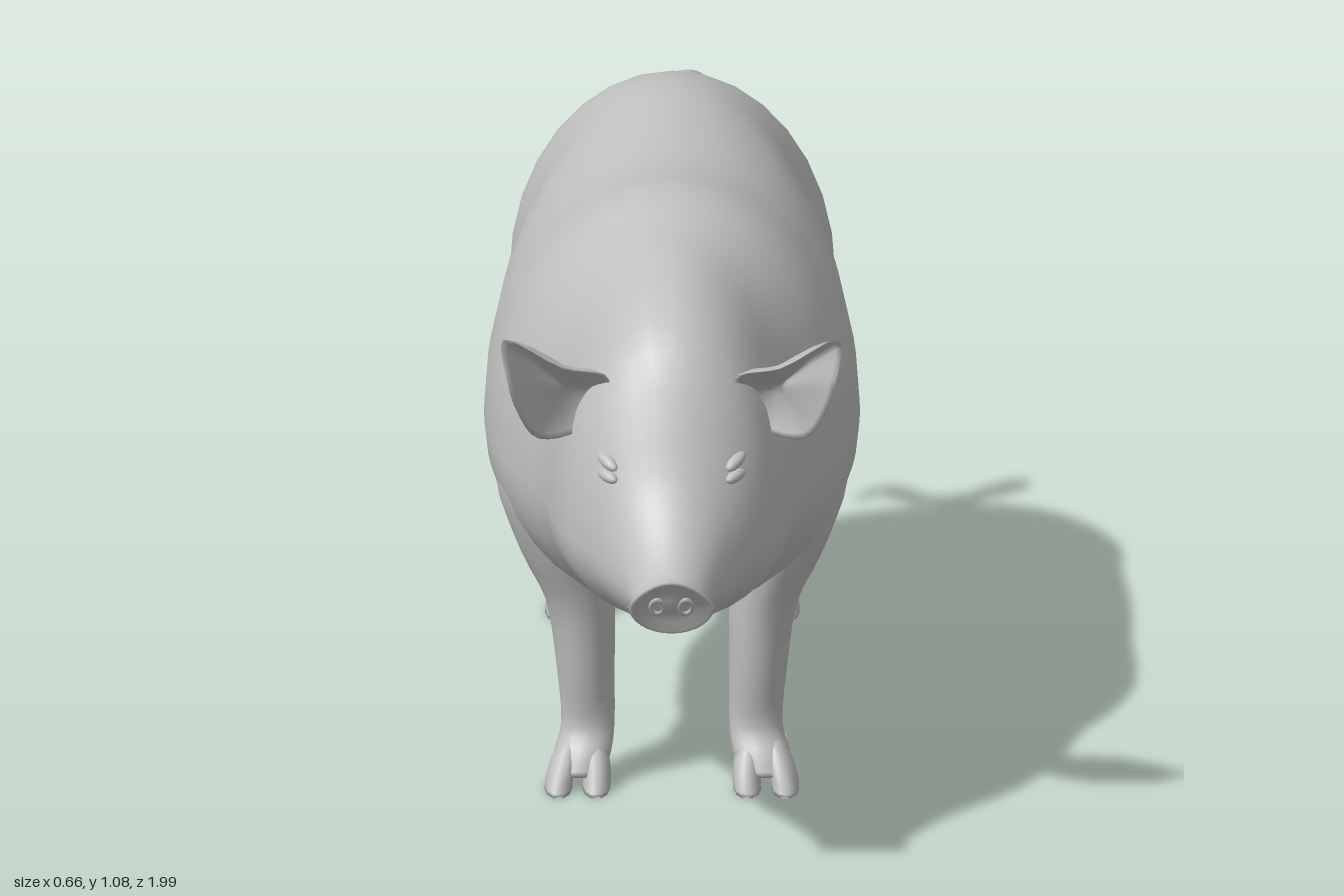
import * as THREE from 'three';

const skin = new THREE.MeshStandardMaterial({ color: 0xc0c0c0 });
skin.name = 'skin grey';
const V = (x, y, z) => new THREE.Vector3(x, y, z);

// Catmull-Rom value between b and c
function blend(a, b, c, d, t) {
  const cubic = 3 * (b - c) + d - a;
  const square = 2 * a - 5 * b + 4 * c - d;
  return b + 0.5 * t * (c - a + t * (square + t * cubic));
}

// Smooth refinement of rows of numbers
function refine(rows, k) {
  const out = [];
  const at = (i) => rows[Math.min(Math.max(i, 0), rows.length - 1)];
  for (let i = 0; i < rows.length - 1; i++) {
    for (let j = 0; j < k; j++) {
      out.push(at(i).map((p, n) => blend(at(i - 1)[n], p, at(i + 1)[n], at(i + 2)[n], j / k)));
    }
  }
  out.push(rows[rows.length - 1]);
  return out;
}

function named(name, geometry) {
  const mesh = new THREE.Mesh(geometry, skin);
  mesh.name = name;
  return mesh;
}

// Closed skin over rings of points, with end caps, always facing outwards
function loft(name, rings) {
  const n = rings[0].length;
  const pts = rings.flat();
  const index = [];
  for (let r = 0; r < rings.length - 1; r++) {
    for (let i = 0; i < n; i++) {
      const a = r * n + i, b = r * n + (i + 1) % n;
      index.push(a, b, a + n, b, b + n, a + n);
    }
  }
  const last = (rings.length - 1) * n;
  const middle = (ring) => ring.reduce((s, p) => s.add(p), V(0, 0, 0)).divideScalar(n);
  const c0 = pts.push(middle(rings[0])) - 1;
  const c1 = pts.push(middle(rings[rings.length - 1])) - 1;
  for (let i = 0; i < n; i++) {
    const j = (i + 1) % n;
    index.push(c0, j, i, c1, last + i, last + j);
  }
  let volume = 0;
  for (let i = 0; i < index.length; i += 3) {
    volume += pts[index[i]].dot(V(0, 0, 0).crossVectors(pts[index[i + 1]], pts[index[i + 2]]));
  }
  if (volume < 0) index.reverse();
  const g = new THREE.BufferGeometry().setFromPoints(pts);
  g.setIndex(index);
  g.computeVertexNormals();
  return named(name, g);
}

// Trunk and head: z, top, bottom, half width, height of widest point, forward lean
const trunk = [
  [-0.846, 0.81, 0.60, 0.09, 0.71, 0], [-0.83, 0.86, 0.52, 0.155, 0.70, 0],
  [-0.78, 0.91, 0.46, 0.218, 0.68, 0], [-0.68, 0.98, 0.43, 0.258, 0.68, 0],
  [-0.53, 1.05, 0.41, 0.284, 0.68, 0], [-0.38, 1.08, 0.35, 0.275, 0.66, 0],
  [-0.22, 1.07, 0.31, 0.307, 0.64, 0], [0, 1.053, 0.335, 0.327, 0.62, 0],
  [0.21, 1.078, 0.34, 0.322, 0.62, 0], [0.35, 1.05, 0.35, 0.288, 0.61, 0],
  [0.47, 1.03, 0.375, 0.23, 0.60, 0], [0.60, 0.99, 0.42, 0.208, 0.59, 0],
  [0.69, 0.93, 0.435, 0.185, 0.59, 0], [0.75, 0.83, 0.45, 0.15, 0.585, 0],
  [0.81, 0.71, 0.46, 0.11, 0.56, 0], [0.88, 0.63, 0.475, 0.08, 0.55, 0.01],
  [0.93, 0.597, 0.487, 0.068, 0.545, 0.025], [0.963, 0.603, 0.488, 0.075, 0.548, 0.033],
];

function buildTrunk() {
  const N = 32;
  const rings = refine(trunk, 3).map(([z, top, bottom, w, mid, lean]) =>
    Array.from({ length: N }, (_, i) => {
      const a = i / N * Math.PI * 2, s = Math.sin(a);
      // the snout narrows towards its upper edge
      const x = w * Math.cos(a) * (1 - 8 * lean * Math.max(s, 0));
      const y = mid + s * (s > 0 ? top - mid : mid - bottom);
      // cleft between the haunches
      const fade = z < -0.6 ? THREE.MathUtils.clamp((0.8 - y) / 0.15, 0, 1) : 0;
      return V(x, y, z + lean * s + 0.04 * fade * Math.exp(-((x / 0.05) ** 2)));
    }));
  // snout disc with a shallow dish
  const rim = rings[rings.length - 1];
  for (const [scale, push] of [[0.9, 0.004], [0.6, -0.006], [0.25, -0.002]]) {
    rings.push(rim.map((p) => V(p.x * scale, 0.546 + (p.y - 0.546) * scale,
      0.963 + (p.z - 0.963) * scale + push)));
  }
  return loft('trunkAndHead', rings);
}

// Limb rows: y, inner x, outer x, front z, back z
const foreLeg = [
  [0.76, 0.14, 0.22, 0.30, 0.12], [0.66, 0.12, 0.285, 0.37, 0.06],
  [0.55, 0.11, 0.308, 0.385, 0.06], [0.43, 0.11, 0.268, 0.355, 0.125],
  [0.33, 0.10, 0.22, 0.325, 0.165], [0.20, 0.10, 0.20, 0.305, 0.19],
  [0.11, 0.10, 0.193, 0.29, 0.217], [0.065, 0.105, 0.205, 0.315, 0.22],
  [0.03, 0.115, 0.21, 0.33, 0.235],
];
const hindLeg = [
  [0.88, 0.10, 0.16, -0.56, -0.70], [0.80, 0.08, 0.215, -0.48, -0.765],
  [0.72, 0.05, 0.258, -0.41, -0.822], [0.62, 0.03, 0.281, -0.38, -0.843],
  [0.50, 0.045, 0.268, -0.41, -0.825], [0.42, 0.075, 0.243, -0.51, -0.80],
  [0.35, 0.09, 0.22, -0.605, -0.79], [0.29, 0.10, 0.205, -0.68, -0.80],
  [0.20, 0.10, 0.193, -0.705, -0.785], [0.11, 0.10, 0.193, -0.708, -0.775],
  [0.065, 0.105, 0.205, -0.69, -0.775], [0.03, 0.115, 0.21, -0.675, -0.765],
];

function limb(name, rows, side, k, n) {
  return loft(name, refine(rows, k).map(([y, x0, x1, z0, z1]) =>
    Array.from({ length: n }, (_, i) => {
      const a = i / n * Math.PI * 2;
      return V(side * ((x0 + x1) / 2 + (x1 - x0) / 2 * Math.cos(a)), y,
        (z0 + z1) / 2 + (z0 - z1) / 2 * Math.sin(a));
    })));
}

function buildLeg(name, rows, side, footZ) {
  const leg = new THREE.Group();
  leg.name = name;
  leg.add(limb('limb', rows, side, 3, 18));
  // cloven toes, splayed apart
  for (const [x, out] of [[0.134, -0.004], [0.178, 0.018]]) {
    leg.add(limb('toe', [
      [0.085, x - 0.012, x + 0.012, footZ + 0.06, footZ + 0.025],
      [0.055, x - 0.023 + out / 2, x + 0.023 + out / 2, footZ + 0.092, footZ + 0.005],
      [0.02, x - 0.024 + out, x + 0.025 + out, footZ + 0.123, footZ + 0.003],
      [0.004, x - 0.022 + out, x + 0.026 + out, footZ + 0.137, footZ + 0.015],
    ], side, 2, 10));
    // dewclaws
    const claw = named('dewclaw', new THREE.ConeGeometry(0.013, 0.045, 8));
    claw.position.set(side * (x + out / 2), 0.06, footZ + 0.002);
    claw.rotation.x = Math.PI + 0.5;
    leg.add(claw);
  }
  return leg;
}

// Cupped ear: the rim is joined to a rounded back and a hollow front
function buildEar(name, side) {
  const rim = new THREE.CatmullRomCurve3([
    V(0.115, 0.89, 0.71), V(0.19, 0.92, 0.76), V(0.294, 0.976, 0.775), V(0.287, 0.90, 0.775),
    V(0.27, 0.835, 0.745), V(0.232, 0.768, 0.69), V(0.16, 0.768, 0.64), V(0.115, 0.83, 0.65),
  ], true, 'centripetal').getPoints(32).slice(0, 32);
  const back = V(0.175, 0.86, 0.595), front = V(0.185, 0.85, 0.65);
  const ring = (center, t, bulge) => rim.map((p) => {
    const q = p.clone().lerp(center, t);
    return V(side * q.x, q.y, q.z + bulge);
  });
  return loft(name, [ring(back, 0.85, 0), ring(back, 0.6, -0.02), ring(back, 0.3, -0.022),
    ring(back, 0.05, -0.008), ring(front, 0, 0), ring(front, 0.1, -0.004),
    ring(front, 0.45, -0.008), ring(front, 0.85, 0)]);
}

// Curled tail with a tuft narrowing to the tip
function buildTail() {
  const path = new THREE.CatmullRomCurve3([
    V(-0.02, 0.83, -0.79), V(0.0, 0.815, -0.86), V(0.04, 0.835, -0.915), V(0.05, 0.885, -0.925),
    V(0.02, 0.915, -0.885), V(-0.03, 0.895, -0.85), V(-0.06, 0.84, -0.86),
    V(-0.075, 0.785, -0.915), V(-0.085, 0.745, -0.97), V(-0.08, 0.645, -0.975)]);
  const steps = 60, sides = 10;
  const g = new THREE.TubeGeometry(path, steps, 0.021, sides);
  const pos = g.attributes.position;
  for (let i = 0; i < pos.count; i++) {
    const t = Math.floor(i / (sides + 1)) / steps;
    const c = path.getPointAt(t);
    const size = t < 0.82 ? 1.1 - 0.1 * t : 1.02 * Math.sqrt((1 - t) / 0.18);
    const p = V(0, 0, 0).fromBufferAttribute(pos, i).sub(c).multiplyScalar(size).add(c);
    pos.setXYZ(i, p.x, p.y, p.z);
  }
  return named('tail', g);
}

export function createModel() {
  const pig = new THREE.Group();
  pig.name = 'pig';
  pig.add(buildTrunk(), buildTail());
  for (const side of [1, -1]) {
    const tag = side > 0 ? 'left' : 'right';
    pig.add(buildLeg(tag + 'ForeLeg', foreLeg, side, 0.232));
    pig.add(buildLeg(tag + 'HindLeg', hindLeg, side, -0.775));
    pig.add(buildEar(tag + 'Ear', side));

    // upper and lower eyelids
    for (const [y, z, tilt] of [[0.746, 0.75, 0.35], [0.722, 0.757, 0.1]]) {
      const lid = named(tag + 'Eyelid', new THREE.SphereGeometry(1, 14, 10));
      lid.scale.set(0.012, 0.011, 0.03);
      lid.position.set(side * 0.112, y, z);
      lid.rotation.set(tilt, -side * 0.5, 0);
      pig.add(lid);
    }

    // nostril rims
    const nostril = named(tag + 'Nostril', new THREE.TorusGeometry(0.014, 0.005, 8, 16));
    nostril.scale.set(0.8, 1.2, 0.8);
    nostril.position.set(side * 0.025, 0.546, 0.959);
    nostril.rotation.x = 0.52;
    pig.add(nostril);
  }
  return pig;
}
